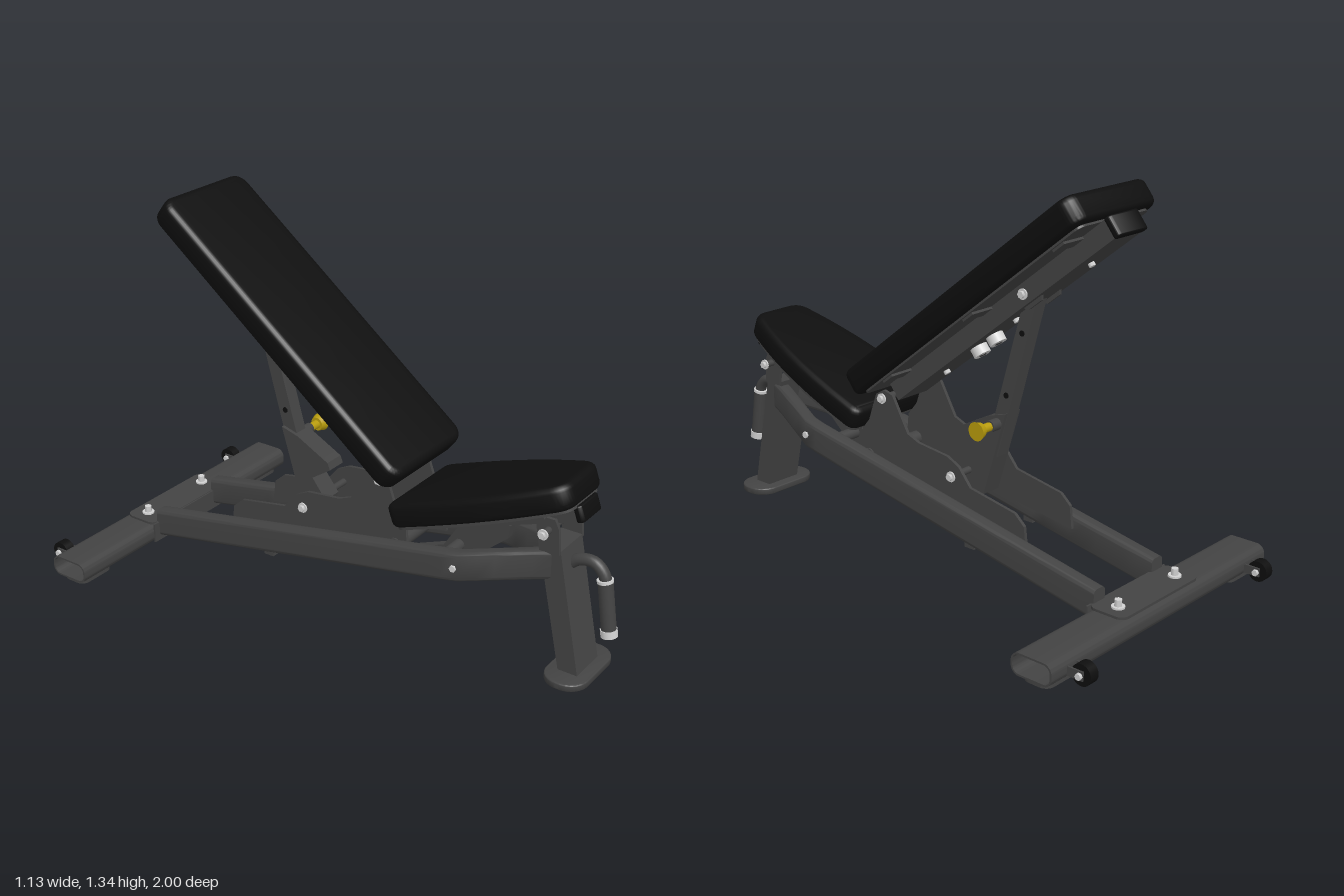
import * as THREE from 'three';
import { toCreasedNormals } from 'three/addons/utils/BufferGeometryUtils.js';

export function createModel() {
  const root = new THREE.Group();
  root.name = 'adjustableBench';
  const paint = (name, color, side = THREE.FrontSide) => {
    const m = new THREE.MeshStandardMaterial({ color, side });
    m.name = name;
    return m;
  };
  const black = paint('blackPadding', 0x0e0e0e);
  const grey = paint('greyFrame', 0x434343);
  const silver = paint('silverMetal', 0xd2d2d2);
  const yellow = paint('yellowKnob', 0xb89c0c);

  const add = (name, geo, mat, parent = root) => {
    const mesh = new THREE.Mesh(geo, mat);
    mesh.name = name;
    parent.add(mesh);
    return mesh;
  };
  const smooth = (geo) => toCreasedNormals(geo, 0.6);
  const box = (name, x0, x1, y0, y1, z0, z1, mat, parent = root) => {
    const m = add(name, new THREE.BoxGeometry(x1 - x0, y1 - y0, z1 - z0), mat, parent);
    m.position.set((x0 + x1) / 2, (y0 + y1) / 2, (z0 + z1) / 2);
    return m;
  };
  // Rounded rectangle centred on (cx, cy)
  const roundRect = (cx, cy, w, h, r, T = THREE.Shape) => {
    const s = new T(), a = w / 2 - r, b = h / 2 - r;
    s.absarc(cx + a, cy + b, r, 0, Math.PI / 2);
    s.absarc(cx - a, cy + b, r, Math.PI / 2, Math.PI);
    s.absarc(cx - a, cy - b, r, Math.PI, Math.PI * 1.5);
    s.absarc(cx + a, cy - b, r, Math.PI * 1.5, Math.PI * 2);
    s.closePath();
    return s;
  };
  const poly = (pts) => new THREE.Shape(pts.map(([a, b]) => new THREE.Vector2(a, b)));
  // Side profile given as (z, y), extruded across x
  const sideways = (name, shape, width, x, mat, parent = root) => {
    const g = new THREE.ExtrudeGeometry(shape, { depth: width, bevelEnabled: false, curveSegments: 8 });
    g.translate(0, 0, -width / 2).rotateY(-Math.PI / 2).translate(x, 0, 0);
    return add(name, smooth(g), mat, parent);
  };
  // Plan outline given as (x, -z), extruded upward from y0 to y1 with soft edges
  const slab = (name, shape, y0, y1, bevel, mat, parent = root) => {
    const g = new THREE.ExtrudeGeometry(shape, {
      depth: y1 - y0 - 2 * bevel, bevelEnabled: bevel > 0, bevelSize: bevel, bevelOffset: -bevel,
      bevelThickness: bevel, bevelSegments: 4, curveSegments: 8,
    });
    g.rotateX(-Math.PI / 2).translate(0, y0 + bevel, 0);
    return add(name, smooth(g), mat, parent);
  };
  // Cylinder between two points
  const rod = (name, a, b, r, mat, parent = root, sides = 16, r2 = r) => {
    const p = new THREE.Vector3(...a), q = new THREE.Vector3(...b);
    const m = add(name, new THREE.CylinderGeometry(r2, r, p.distanceTo(q), sides), mat, parent);
    m.position.copy(p).add(q).multiplyScalar(0.5);
    m.quaternion.setFromUnitVectors(new THREE.Vector3(0, 1, 0), q.sub(p).normalize());
    return m;
  };
  // Cross bolt with a hexagonal head on both sides
  const crossBolt = (y, z, half, parent = root) => {
    rod('boltShaft', [-half, y, z], [half, y, z], 0.012, grey, parent);
    for (const s of [-1, 1]) {
      rod('boltWasher', [s * half, y, z], [s * (half + 0.005), y, z], 0.018, silver, parent);
      rod('boltHead', [s * half, y, z], [s * (half + 0.015), y, z], 0.012, silver, parent, 6);
    }
  };

  // Front foot and leaning post
  slab('frontFoot', roundRect(0, -0.87, 0.28, 0.15, 0.07), 0, 0.025, 0.005, grey);
  sideways('frontPost', poly([[0.905, 0.02], [0.835, 0.02], [0.745, 0.45], [0.82, 0.45]]), 0.14, 0, grey);
  for (const s of [-1, 1]) {
    sideways('seatPivotEar', poly([[0.82, 0.44], [0.75, 0.44], [0.735, 0.53], [0.76, 0.56], [0.80, 0.56], [0.815, 0.53]]),
      0.012, s * 0.075, grey);
  }
  crossBolt(0.52, 0.78, 0.115);

  // Front carry handle
  const handlePath = new THREE.CatmullRomCurve3([[0.8, 0.36], [0.85, 0.402], [0.905, 0.408], [0.94, 0.375], [0.955, 0.3], [0.97, 0.17]]
    .map(([z, y]) => new THREE.Vector3(0, y, z)));
  add('handleTube', new THREE.TubeGeometry(handlePath, 32, 0.02, 14), grey);
  rod('handleGrip', [0, 0.36, 0.944], [0, 0.185, 0.969], 0.025, grey);
  rod('gripRing', [0, 0.362, 0.943], [0, 0.352, 0.945], 0.027, silver);
  rod('gripRing', [0, 0.19, 0.968], [0, 0.165, 0.972], 0.028, silver);

  // Pair of sloping rails that pinch in towards the post
  const railY = (z) => 0.238 + 0.19 * z;
  for (const s of [-1, 1]) {
    const g = new THREE.ExtrudeGeometry(roundRect(0, 0, 0.056, 0.104, 0.016),
      { depth: 1.565, steps: 28, bevelEnabled: false, curveSegments: 5 });
    const p = g.attributes.position;
    for (let i = 0; i < p.count; i++) {
      const z = p.getZ(i) - 0.775;
      const t = THREE.MathUtils.clamp((z - 0.5) / 0.28, 0, 1);
      p.setXYZ(i, p.getX(i) + s * (0.152 - 0.11 * t), p.getY(i) + railY(z), z);
    }
    g.computeVertexNormals();
    add('rail', smooth(g), grey);

    // Backrest pivot plate and rear gusset on each rail
    sideways('pivotPlate', poly([[0.29, 0.27], [0.28, 0.39], [0.24, 0.44], [0.205, 0.54], [0.17, 0.56], [0.13, 0.55],
      [0.06, 0.43], [0.01, 0.41], [-0.12, 0.395], [-0.17, 0.37], [-0.22, 0.31], [-0.41, 0.275], [-0.45, 0.24],
      [-0.46, 0.16]]), 0.012, s * 0.118, grey);
    rod('railBolt', [s * 0.18, 0.335, 0.5], [s * 0.188, 0.335, 0.5], 0.012, silver, root, 6);
    box('railTab', s * 0.15 - 0.02, s * 0.15 + 0.02, 0.125, 0.15, -0.28, -0.24, grey);
  }
  crossBolt(0.53, 0.175, 0.125);
  crossBolt(0.33, -0.14, 0.125);
  rod('frameCrossTube', [-0.13, 0.31, 0.24], [0.13, 0.31, 0.24], 0.025, grey);

  // Hollow rear cross bar with saddle, feet and wheels
  const barShape = roundRect(-0.845, 0.055, 0.15, 0.074, 0.03);
  barShape.holes.push(roundRect(-0.845, 0.055, 0.138, 0.062, 0.024, THREE.Path));
  sideways('rearCrossBar', barShape, 1.13, 0, grey);
  slab('saddleTop', roundRect(0, 0.837, 0.41, 0.134, 0.03), 0.091, 0.1, 0, grey);
  box('saddleFront', -0.205, 0.205, 0.025, 0.098, -0.771, -0.764, grey);
  for (const s of [-1, 1]) {
    slab('rearFoot', roundRect(s * 0.475, 0.845, 0.15, 0.1, 0.03), 0, 0.022, 0, grey);
    rod('saddleWasher', [s * 0.15, 0.1, -0.845], [s * 0.15, 0.106, -0.845], 0.022, silver);
    rod('saddleBolt', [s * 0.15, 0.1, -0.845], [s * 0.15, 0.128, -0.845], 0.013, silver, root, 6);
    for (const e of [-1, 1]) {
      box('wheelBracket', s * 0.468 + e * 0.022 - 0.003, s * 0.468 + e * 0.022 + 0.003, 0.035, 0.065, -0.975, -0.915, grey);
      rod('wheelBolt', [s * 0.468 + e * 0.024, 0.05, -0.965], [s * 0.468 + e * 0.036, 0.05, -0.965], 0.011, silver, root, 6);
    }
    rod('wheel', [s * 0.468 - 0.018, 0.05, -0.965], [s * 0.468 + 0.018, 0.05, -0.965], 0.035, black, root, 28);
  }

  // Backrest, tilted about x
  const back = new THREE.Group();
  back.name = 'backrest';
  back.rotation.x = 0.669;
  root.add(back);
  slab('backPad', roundRect(0, 0.742, 0.41, 1.205, 0.05), 0.568, 0.66, 0.022, black, back);
  slab('backBoard', roundRect(0, 0.742, 0.35, 1.14, 0.03), 0.561, 0.569, 0, grey, back);
  box('backFrameTube', -0.07, 0.07, 0.498, 0.562, -1.325, -0.2, grey, back);
  slab('backTubeCap', roundRect(0, 1.333, 0.145, 0.03, 0.012), 0.495, 0.565, 0.006, black, back);
  for (const s of [0.58, 0.665]) {
    rod('bumper', [0, 0.5, -s], [0, 0.467, -s], 0.03, silver, back, 20);
    rod('bumperScrew', [0, 0.48, -s], [0, 0.465, -s], 0.013, grey, back);
  }
  for (const s of [0.4, 0.78, 1.15]) rod('frameScrew', [0, 0.5, -s], [0, 0.486, -s], 0.012, silver, back, 6);
  for (const e of [-1, 1]) {
    sideways('strutEar', poly([[-0.84, 0.52], [-0.98, 0.52], [-0.95, 0.485], [-0.89, 0.485]]), 0.01, e * 0.045, grey, back);
    for (const s of [0.3, 0.75, 1.2]) box('boardStrap', e * 0.115 - 0.05, e * 0.115 + 0.05, 0.553, 0.562, -s - 0.025, -s + 0.025, grey, back);
  }

  // Back support strut sliding in a sleeve, locked with a pull knob
  sideways('strut', poly([[-0.415, 0.985], [-0.40, 1.01], [-0.375, 1.01], [-0.36, 0.97], [-0.2, 0.4], [-0.255, 0.4]]), 0.05, 0, grey);
  crossBolt(0.985, -0.39, 0.072);
  sideways('strutSleeve', poly([[-0.295, 0.56], [-0.225, 0.54], [-0.1, 0.475], [-0.09, 0.45], [-0.165, 0.4], [-0.11, 0.33], [-0.125, 0.26],
    [-0.205, 0.26]]), 0.075, 0, grey);
  [[0, 0.3], [0.4, 0.62], [0.7, 0.84]].forEach(([, y]) => {
    const z = -0.39 + (0.985 - y) * 0.28;
    rod('strutHole', [-0.027, y, z], [0.027, y, z], 0.01, black);
  });
  rod('knobCollar', [0.035, 0.52, -0.26], [0.075, 0.52, -0.26], 0.02, grey);
  rod('knobStem', [0.07, 0.52, -0.26], [0.125, 0.52, -0.26], 0.015, yellow);
  rod('knobHead', [0.115, 0.52, -0.26], [0.14, 0.52, -0.26], 0.024, yellow, root, 20, 0.032);

  // Seat, tilted about x, tapering to the front
  const seat = new THREE.Group();
  seat.name = 'seat';
  seat.rotation.x = -0.35;
  root.add(seat);
  const seatPlan = (inset) => {
    const s = new THREE.Shape(), k = inset, b = -0.385 - k, f = -1.03 + k;
    s.moveTo(-0.15, b);
    s.lineTo(0.15, b);
    s.quadraticCurveTo(0.188 - k, b, 0.19 - k, b - 0.04);
    s.bezierCurveTo(0.195 - k, -0.72, 0.155 - k, -0.87, 0.125 - k, f + 0.05);
    s.quadraticCurveTo(0.11 - k, f, 0.06, f);
    s.lineTo(-0.06, f);
    s.quadraticCurveTo(-0.11 + k, f, -0.125 + k, f + 0.05);
    s.bezierCurveTo(-0.155 + k, -0.87, -0.195 + k, -0.72, -0.19 + k, b - 0.04);
    s.quadraticCurveTo(-0.188 + k, b, -0.15, b);
    return s;
  };
  slab('seatPad', seatPlan(0), 0.287, 0.372, 0.022, black, seat);
  slab('seatBoard', seatPlan(0.012), 0.28, 0.29, 0, grey, seat);
  box('seatFrameTube', -0.055, 0.055, 0.232, 0.282, 0.43, 1.01, grey, seat);
  slab('seatTubeCap', roundRect(0, -1.015, 0.12, 0.03, 0.012), 0.229, 0.285, 0.006, black, seat);
  for (const w of [0.6, 0.9]) {
    box('seatStrap', -0.11, 0.11, 0.268, 0.282, w - 0.025, w + 0.025, grey, seat);
    rod('seatScrew', [0, 0.233, w], [0, 0.215, w], 0.012, silver, seat, 6);
  }

  // Seat adjuster: notched guide and link under the seat
  sideways('seatGuide', poly([[0.61, 0.45], [0.6, 0.40], [0.41, 0.235], [0.12, 0.175], [0.11, 0.2], [0.36, 0.3], [0.45, 0.44]]), 0.03, 0, grey);
  crossBolt(0.235, 0.39, 0.06);
  rod('guideCrossTube', [-0.13, 0.32, 0.42], [0.13, 0.32, 0.42], 0.02, grey);
  return root;
}
